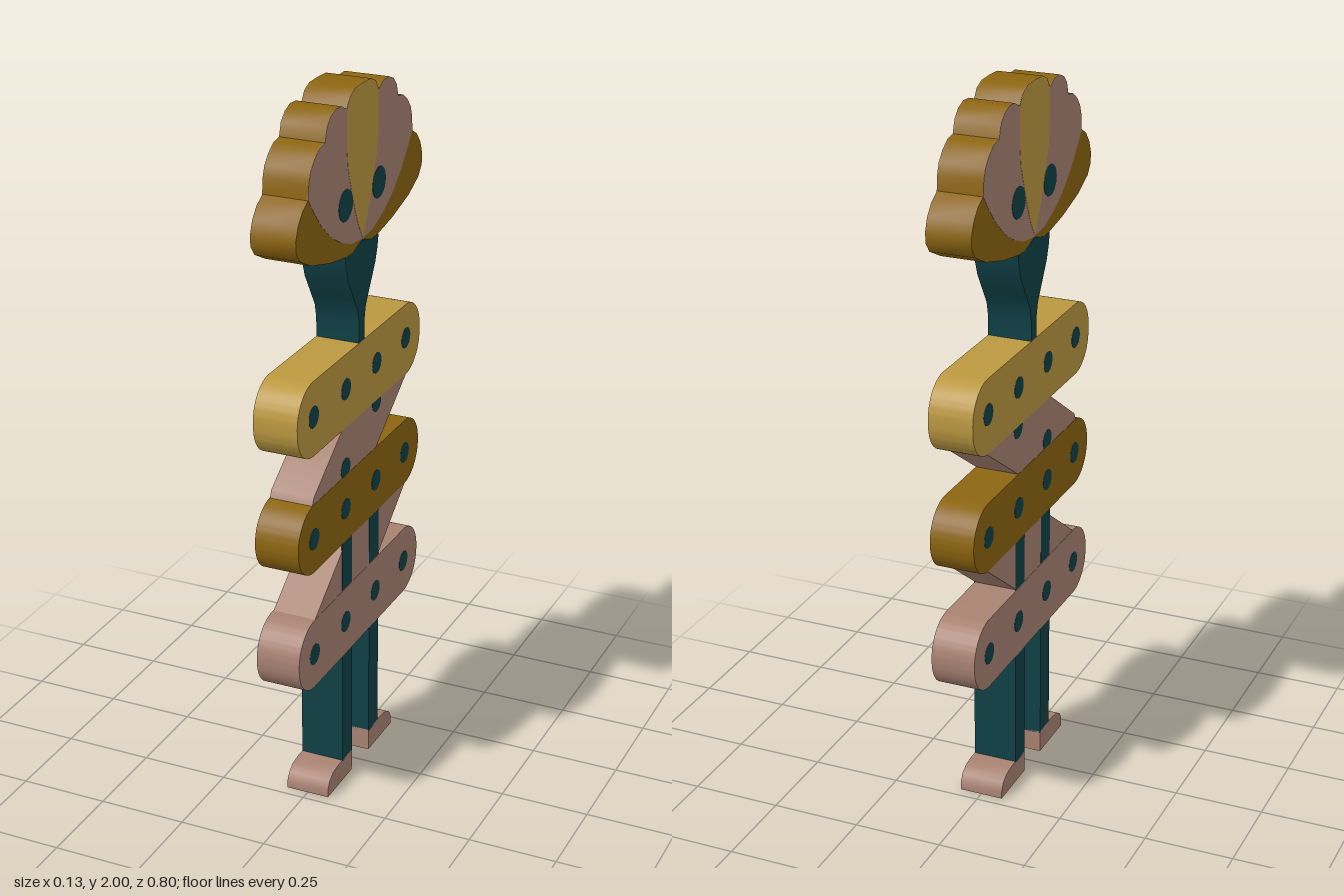
import * as THREE from 'three';
import { toCreasedNormals } from 'three/addons/utils/BufferGeometryUtils.js';

const HALF = 0.0625; // half thickness of the flat figure

const mat = (name, color) => {
  const m = new THREE.MeshStandardMaterial({ color });
  m.name = name;
  return m;
};

export function createModel() {
  const group = new THREE.Group();
  const pink = mat('dusty pink', 0xa88272);
  const ochre = mat('dark ochre', 0x8c6510);
  const gold = mat('gold', 0xbb9840);
  const teal = mat('dark teal', 0x0f4147);

  // Profiles are drawn as (across, up); across runs towards -z, thickness along x.
  const slab = (name, shape, material, from = -HALF, to = HALF) => {
    let geo = new THREE.ExtrudeGeometry(shape, { depth: to - from, bevelEnabled: false, curveSegments: 10 });
    geo.translate(0, 0, from);
    geo.rotateY(Math.PI / 2);
    geo = toCreasedNormals(geo, 0.6);
    const mesh = new THREE.Mesh(geo, material);
    mesh.name = name;
    group.add(mesh);
  };
  // Thin painted plates on both broad faces
  const plates = (name, shape, material, top) => {
    slab(name + 'Left', shape, material, top - 0.002, top);
    slab(name + 'Right', shape, material, -top, 0.002 - top);
  };
  const poly = (pts) => new THREE.Shape(pts.map(([x, y]) => new THREE.Vector2(x, y)));
  // Closed symmetric outline from its right half, listed top to bottom
  const mirrored = (pts) => poly([...pts, ...pts.slice().reverse().filter(p => p[0] !== 0).map(([x, y]) => [-x, y])]);
  const rect = (x0, x1, y0, y1) => poly([[x0, y0], [x1, y0], [x1, y1], [x0, y1]]);
  const disc = (x, y, r) => new THREE.Shape().absarc(x, y, r, 0, Math.PI * 2, false);
  const roundBar = (w, y0, y1, r) => {
    const s = new THREE.Shape();
    s.absarc(w - r, y0 + r, r, -Math.PI / 2, 0, false);
    s.absarc(w - r, y1 - r, r, 0, Math.PI / 2, false);
    s.absarc(-w + r, y1 - r, r, Math.PI / 2, Math.PI, false);
    s.absarc(-w + r, y0 + r, r, Math.PI, Math.PI * 1.5, false);
    return s;
  };

  // Scalloped head: ochre body with pink fan, gold petal and eyes on its faces
  const lobes = [
    [0, 2], [0.05, 1.998], [0.08, 1.985], [0.1, 1.957], [0.13, 1.972], [0.164, 1.974], [0.195, 1.962],
    [0.217, 1.94], [0.228, 1.905], [0.26, 1.9], [0.29, 1.88], [0.312, 1.855], [0.323, 1.825], [0.326, 1.785]
  ];
  slab('head', mirrored([...lobes, [0.36, 1.765], [0.385, 1.735], [0.398, 1.7], [0.396, 1.67], [0.375, 1.642],
    [0.31, 1.61], [0.2, 1.58], [0.1, 1.563], [0.06, 1.563], [0, 1.58]]), ochre);
  plates('fan', mirrored([...lobes, [0.295, 1.745], [0.25, 1.695], [0.19, 1.645], [0.13, 1.612], [0.07, 1.59], [0, 1.582]]),
    pink, HALF + 0.0006);
  plates('petal', mirrored([[0, 2], [0.05, 1.998], [0.08, 1.985], [0.098, 1.955], [0.098, 1.85], [0.092, 1.8],
    [0.058, 1.7], [0.03, 1.635], [0, 1.585]]), gold, HALF + 0.0012);
  for (const side of [-1, 1]) plates('eye', disc(side * 0.105, 1.705, 0.043), teal, HALF + 0.0018);

  // Flared neck
  slab('neck', mirrored([[0, 1.578], [0.06, 1.563], [0.106, 1.562], [0.1, 1.53], [0.086, 1.49], [0.05, 1.43],
    [0.026, 1.39], [0.017, 1.35], [0.017, 1.29]]), teal);

  // Three rounded bars with four dots each
  const bars = [['topBar', 1.085, 1.295, gold], ['middleBar', 0.748, 0.945, ochre], ['bottomBar', 0.4, 0.603, pink]];
  for (const [name, y0, y1, material] of bars) {
    slab(name, roundBar(0.398, y0, y1, 0.097), material);
    const y = { topBar: 1.195, middleBar: 0.845, bottomBar: 0.5 }[name];
    for (const x of [-0.3, -0.1, 0.1, 0.3]) plates('dot', disc(x, y, 0.03), teal, HALF + 0.0008);
  }

  // Slanted bands joining the bars
  const under = HALF - 0.001;
  slab('upperBand', poly([[-0.31, 0.943], [0.1, 0.943], [0.31, 1.087], [-0.12, 1.087], [-0.3, 0.965]]), pink, -under, under);
  slab('lowerBand', poly([[-0.3, 0.6], [0.11, 0.6], [0.31, 0.75], [-0.09, 0.75]]), pink, -under, under);
  plates('bandDot', disc(0.103, 1.08, 0.03), teal, HALF - 0.0004);
  plates('bandDot', disc(-0.1, 0.965, 0.03), teal, HALF - 0.0004);

  // Legs, their upper ends over the lower band, and feet
  for (const side of [-1, 1]) {
    const a = side * 0.058, b = side * 0.122;
    const x0 = Math.min(a, b), x1 = Math.max(a, b);
    slab('leg', rect(x0, x1, 0.06, 0.401), teal);
    plates('upperLeg', rect(x0, x1, 0.605, 0.749), teal, HALF - 0.0004);
    slab('foot', poly([[0.058, 0], [0.22, 0], [0.22, 0.022], [0.208, 0.045], [0.185, 0.06], [0.15, 0.065], [0.058, 0.065]]
      .map(([x, y]) => [side * x, y])), pink);
  }
  return group;
}
